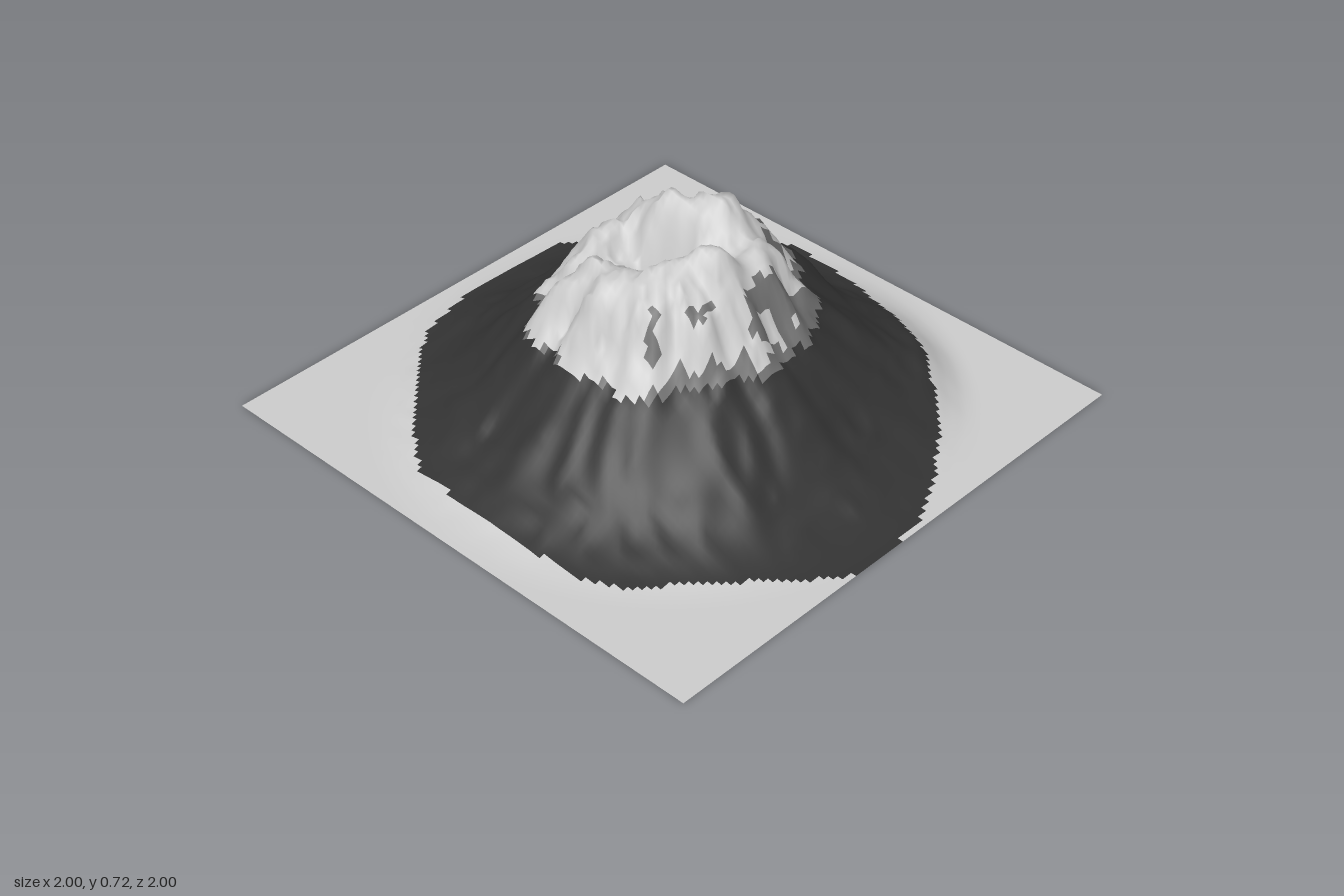
import * as THREE from 'three';

const CELLS = 100, SIZE = 2, PEAK = 0.72;
const { lerp, smoothstep } = THREE.MathUtils;

// Mountain profile: radius, height
const PROFILE = [[0, 0.57], [0.18, 0.58], [0.26, 0.57], [0.33, 0.53], [0.4, 0.43], [0.45, 0.37], [0.5, 0.315],
  [0.55, 0.26], [0.6, 0.21], [0.65, 0.16], [0.7, 0.118], [0.75, 0.082], [0.8, 0.054], [0.85, 0.031], [0.9, 0.014],
  [0.95, 0.004], [1, 0]];

// Summits and shoulders (positive), crater and gullies (negative): x, z, height, width
const BUMPS = [
  [-0.04, 0.2, 0.14, 0.065], [0.2, 0.02, 0.13, 0.065], [0.12, -0.12, 0.1, 0.07], [-0.2, 0.1, 0.1, 0.07],
  [0.14, 0.22, 0.05, 0.06], [0.12, -0.29, 0.05, 0.08], [-0.33, 0, 0.03, 0.06], [-0.23, -0.12, 0.04, 0.06],
  [-0.04, -0.05, -0.26, 0.06], [-0.11, -0.17, -0.08, 0.05], [-0.21, -0.29, -0.07, 0.05], [0, -0.2, -0.08, 0.04],
  [0.06, 0.12, -0.05, 0.04], [0.55, 0.03, 0.07, 0.085], [0.63, 0.48, 0.072, 0.2],
];

// Outline of the dark rock on the ground: x, z
const ROCK_EDGE = [
  [-0.08, 1], [-0.23, 1], [-0.34, 0.92], [-0.5, 0.78], [-0.77, 0.54], [-0.84, 0.4], [-0.87, 0], [-0.83, -0.32],
  [-0.72, -0.47], [-0.45, -0.75], [-0.3, -0.86], [-0.05, -0.92], [0.38, -0.92], [0.44, -0.82], [0.75, -0.55],
  [0.94, -0.3], [0.9, 0], [0.8, 0.25], [0.68, 0.5], [0.5, 0.72], [0.25, 0.9], [0.1, 0.97],
];

// Seeded value noise, 0 to 1
function hash(x, y) {
  let n = Math.imul(x, 374761393) + Math.imul(y, 668265263) + 1013;
  n = Math.imul(n ^ (n >>> 13), 1274126177);
  return ((n ^ (n >>> 16)) >>> 0) / 4294967295;
}
function noise(x, y) {
  const ix = Math.floor(x), iy = Math.floor(y);
  const fx = x - ix, fy = y - iy;
  const u = fx * fx * (3 - 2 * fx), v = fy * fy * (3 - 2 * fy);
  return lerp(lerp(hash(ix, iy), hash(ix + 1, iy), u), lerp(hash(ix, iy + 1), hash(ix + 1, iy + 1), u), v);
}
const ridge = (x, y) => 1 - Math.abs(2 * noise(x, y) - 1);

function profile(r) {
  for (let i = 1; i < PROFILE.length; i++) {
    const [r0, h0] = PROFILE[i - 1], [r1, h1] = PROFILE[i];
    if (r <= r1) return lerp(h0, h1, Math.max(0, (r - r0) / (r1 - r0)));
  }
  return 0;
}

function heightAt(x, z) {
  const r = Math.hypot(x, z), a = Math.atan2(z, x);
  if (r >= 1) return 0;
  // Radial flutes and broad lumps on the slopes, strongest near the top
  const fade = smoothstep(r, 0.1, 0.35) * (1 - smoothstep(r, 0.7, 0.98));
  const steep = 1 + 1.2 * (1 - smoothstep(r, 0.35, 0.5));
  const flutes = Math.sin(a * 13 + 5 * noise(x * 3 + 7, z * 3)) * 0.008
    + Math.sin(a * 29 + 6 * noise(x * 4, z * 4 + 3)) * 0.004;
  let h = profile(r + fade * (steep * flutes + 0.03 * (noise(x * 5 + 20, z * 5 + 20) - 0.5)));
  const skirt = 1 - smoothstep(r, 0.8, 1);
  for (const [bx, bz, bh, w] of BUMPS) {
    h += skirt * bh * Math.exp(-((x - bx) ** 2 + (z - bz) ** 2) / (2 * w * w));
  }
  // Craggy rock near the top, faint creases below
  const crag = smoothstep(h, 0.3, 0.48);
  h += crag * (0.05 * (ridge(x * 9 + 40, z * 9 + 40) - 0.6) + 0.04 * (ridge(x * 19, z * 19) - 0.6));
  h += fade * 0.012 * (ridge(x * 11 + 5, z * 11 + 70) - 0.6);
  return Math.max(0, h);
}

function insideRock(x, z) {
  let inside = false;
  ROCK_EDGE.forEach(([x1, z1], i) => {
    const [x2, z2] = ROCK_EDGE[(i + 1) % ROCK_EDGE.length];
    if ((z1 > z) !== (z2 > z) && x < x1 + ((z - z1) * (x2 - x1)) / (z2 - z1)) inside = !inside;
  });
  return inside;
}

// Which surface covers a grid cell
function surfaceAt(x, z, h) {
  if (!insideRock(x, z)) return 'ground';
  const patch = noise(x * 16 + 60, z * 16 + 60) - 0.5;
  const front = smoothstep(z + 0.4 * x, -0.05, 0.2);
  const shade = smoothstep(x - z, 0.3, 0.6) * 0.07;
  if (h < 0.36 + 0.015 * front + shade + (0.02 + 0.6 * shade) * patch) return 'darkRock';
  if (h < 0.36 + 0.07 * front + 0.1 * patch) return 'greyRock';
  if (front > 0.4 && h < 0.6 && noise(x * 22, z * 22 + 90) > 0.63) return 'greyRock';
  return 'snow';
}

export function createModel() {
  const group = new THREE.Group();
  group.name = 'mountain';

  // Height field on a square grid
  const terrain = new THREE.PlaneGeometry(SIZE, SIZE, CELLS, CELLS).rotateX(-Math.PI / 2);
  const pos = terrain.attributes.position;
  for (let i = 0; i < pos.count; i++) {
    pos.setY(i, Math.min(PEAK, heightAt(pos.getX(i), pos.getZ(i))));
  }
  terrain.computeVertexNormals();

  // Sort the cells by surface
  const cells = { ground: [], darkRock: [], greyRock: [], snow: [] };
  const row = CELLS + 1;
  for (let j = 0; j < CELLS; j++) {
    for (let i = 0; i < CELLS; i++) {
      const a = j * row + i, b = a + row, c = b + 1, d = a + 1;
      const x = (pos.getX(a) + pos.getX(c)) / 2, z = (pos.getZ(a) + pos.getZ(c)) / 2;
      const h = (pos.getY(a) + pos.getY(b) + pos.getY(c) + pos.getY(d)) / 4;
      cells[surfaceAt(x, z, h)].push(a, b, d, b, c, d);
    }
  }

  // One mesh per surface, sharing the smooth terrain normals
  const colors = { ground: 0xcccccc, darkRock: 0x333333, greyRock: 0x707070, snow: 0xdddddd };
  for (const [name, index] of Object.entries(cells)) {
    const part = terrain.clone();
    part.setIndex(index);
    const mesh = new THREE.Mesh(part.toNonIndexed(),
      new THREE.MeshStandardMaterial({ color: colors[name], side: THREE.DoubleSide }));
    mesh.name = name;
    group.add(mesh);
  }
  return group;
}
